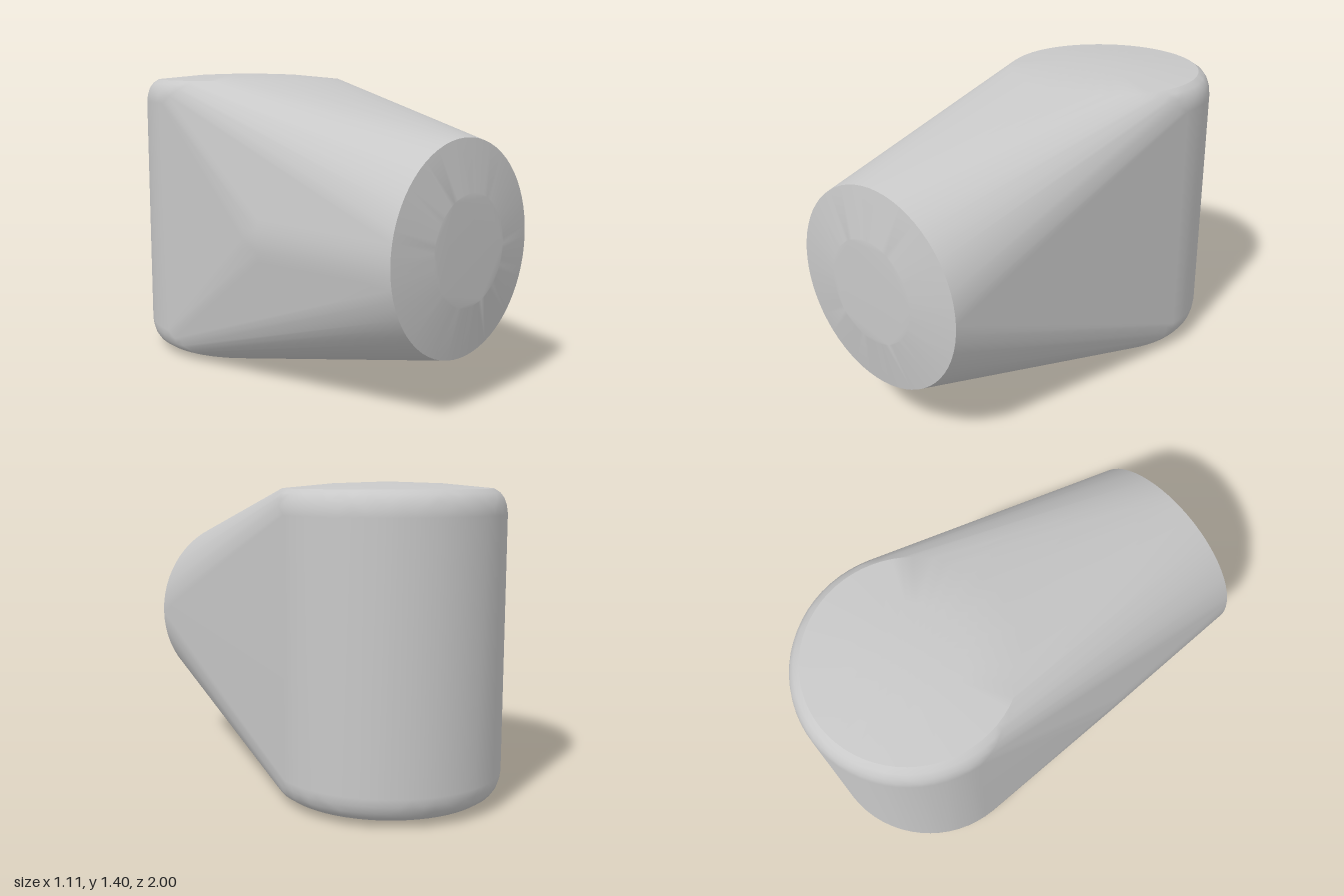
import * as THREE from 'three';
import { ConvexGeometry } from 'three/addons/geometries/ConvexGeometry.js';

const MID_Y = 0.707;

// Area-weighted smooth normals that stay sharp across edges beyond the limit angle
function smoothBelow(geometry, limit) {
  const pos = geometry.attributes.position;
  const corner = (i) => new THREE.Vector3().fromBufferAttribute(pos, i);
  const key = (v) => [v.x, v.y, v.z].map((n) => Math.round(n * 1e5)).join();
  const faces = [];
  const around = new Map();
  for (let i = 0; i < pos.count; i += 3) {
    const [a, b, c] = [corner(i), corner(i + 1), corner(i + 2)];
    const area = b.clone().sub(a).cross(c.clone().sub(a));
    const face = { area, unit: area.clone().normalize(), keys: [a, b, c].map(key) };
    faces.push(face);
    for (const k of face.keys) {
      if (!around.has(k)) around.set(k, []);
      around.get(k).push(face);
    }
  }
  const minDot = Math.cos(limit);
  const normals = [];
  for (const face of faces) {
    for (const k of face.keys) {
      const n = new THREE.Vector3();
      for (const other of around.get(k)) {
        if (other.unit.dot(face.unit) > minDot) n.add(other.area);
      }
      normals.push(...n.normalize().toArray());
    }
  }
  geometry.setAttribute('normal', new THREE.Float32BufferAttribute(normals, 3));
  return geometry;
}

export function createModel() {
  const group = new THREE.Group();
  group.name = 'roundedElbow';
  const grey = new THREE.MeshStandardMaterial({ color: 0xc8c8c8 });
  grey.name = 'plain grey';

  const points = [];
  const ring = (radius, place, segments = 64) => {
    for (let i = 0; i < segments; i++) {
      const a = (i / segments) * Math.PI * 2;
      points.push(place(radius * Math.cos(a), radius * Math.sin(a)));
    }
  };

  // Upright drum with rounded rims and shallow domed ends: [radius, height from middle]
  const drum = [[0.52, 0.565], [0.515, 0.6], [0.505, 0.63], [0.487, 0.655], [0.46, 0.673], [0.24, 0.694]];
  for (const side of [1, -1]) {
    for (const [r, h] of drum) {
      ring(r, (u, v) => new THREE.Vector3(0.035 + u, MID_Y + side * h, -0.48 + v));
    }
    points.push(new THREE.Vector3(0.035, MID_Y + side * 0.702, -0.48));
  }

  // Forward round spout with a bevelled face: [radius, z]
  for (const [r, z] of [[0.474, 0.12], [0.48, 0.22], [0.465, 0.965], [0.24, 1]]) {
    ring(r, (u, v) => new THREE.Vector3(-0.077 + u, MID_Y + v, z));
  }

  // Skin stretched over both
  const body = new THREE.Mesh(smoothBelow(new ConvexGeometry(points), 0.42), grey);
  body.name = 'body';
  group.add(body);
  return group;
}
